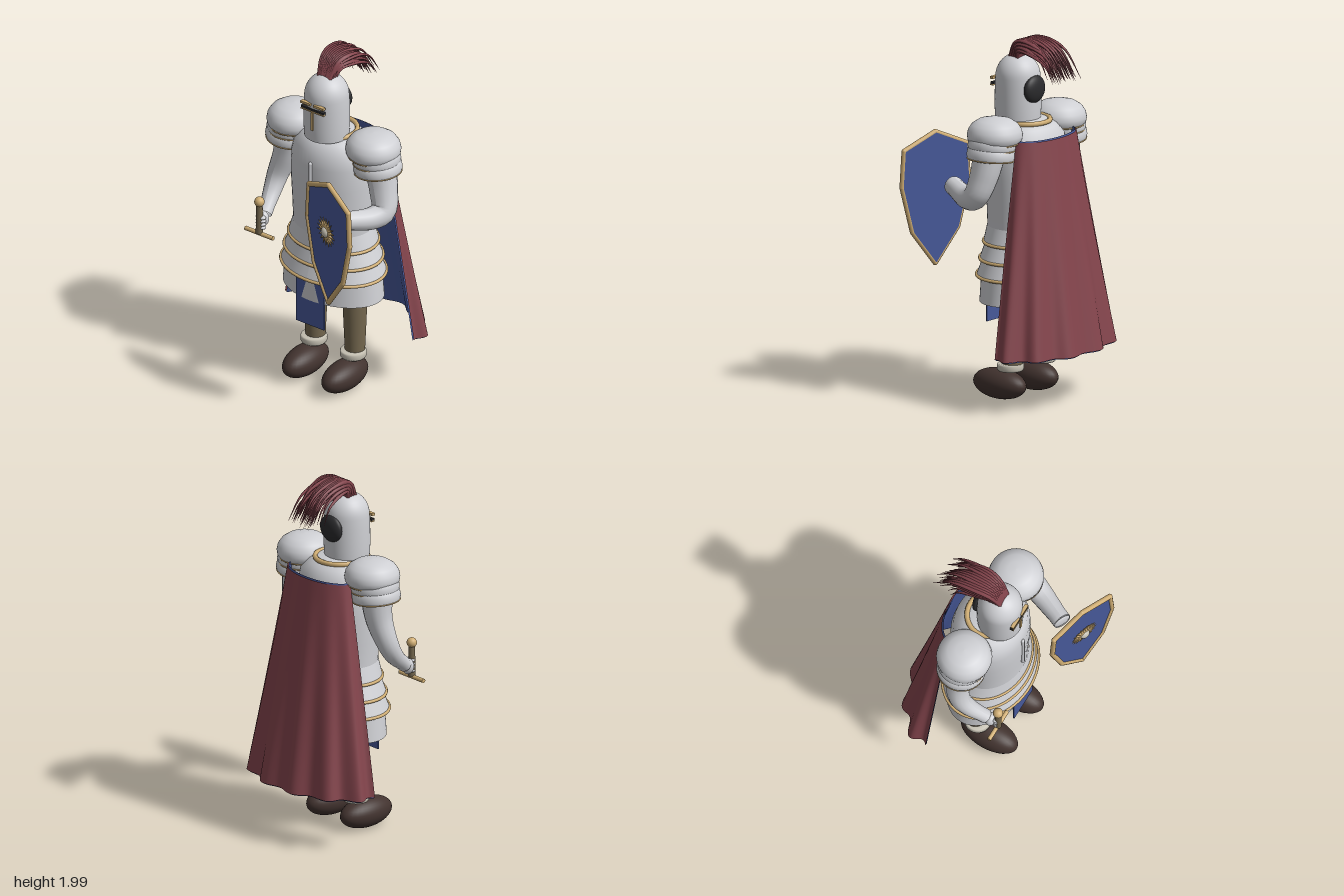
import * as THREE from 'three';

const mat = (name, color, side = THREE.FrontSide) => {
  const m = new THREE.MeshStandardMaterial({ color, side });
  m.name = name;
  return m;
};
const V = (x, y, z) => new THREE.Vector3(x, y, z);
const CX = -0.025;

export function createModel() {
  const steel = mat('steel', 0xcfd0d4, THREE.DoubleSide);
  const gold = mat('gold', 0xd0ae74);
  const blue = mat('blue cloth', 0x47599a, THREE.DoubleSide);
  const red = mat('red cloth', 0x85454d, THREE.DoubleSide);
  const brown = mat('brown leather', 0x75684f);
  const boot = mat('boot leather', 0x42332f);
  const cream = mat('cream cuff', 0xc6c1b3);
  const dark = mat('dark', 0x2b2b2d);

  const model = new THREE.Group();
  const add = (name, geo, material, x = 0, y = 0, z = 0, parent = model) => {
    const m = new THREE.Mesh(geo, material);
    m.name = name;
    m.position.set(x, y, z);
    parent.add(m);
    return m;
  };
  const group = (name, x = 0, y = 0, z = 0) => {
    const g = new THREE.Group();
    g.name = name;
    g.position.set(x, y, z);
    model.add(g);
    return g;
  };
  const lathe = (pts, seg = 48) => new THREE.LatheGeometry(pts.map(p => new THREE.Vector2(...p)), seg);
  const ball = (rx, ry, rz) => new THREE.SphereGeometry(1, 32, 20).scale(rx, ry, rz);
  // Tube along a curve whose radius follows radius(t)
  const taperTube = (points, radius, seg = 24, sides = 16) => {
    const curve = new THREE.CatmullRomCurve3(points);
    const geo = new THREE.TubeGeometry(curve, seg, 1, sides);
    const pos = geo.attributes.position, v = new THREE.Vector3();
    for (let i = 0; i < pos.count; i++) {
      const t = Math.floor(i / (sides + 1)) / seg, c = curve.getPointAt(t);
      v.fromBufferAttribute(pos, i).sub(c).multiplyScalar(radius(t)).add(c);
      pos.setXYZ(i, v.x, v.y, v.z);
    }
    geo.computeVertexNormals();
    return geo;
  };
  // Closed elliptical ring lying flat
  const ring = (rx, rz, tube) => {
    const pts = [];
    for (let i = 0; i < 32; i++) {
      const a = i / 32 * Math.PI * 2;
      pts.push(V(Math.cos(a) * rx, 0, Math.sin(a) * rz));
    }
    return new THREE.TubeGeometry(new THREE.CatmullRomCurve3(pts, true), 96, tube, 8, true);
  };

  // Torso and chest ridge
  const body = group('body', CX, 0, -0.025);
  add('torso', lathe([[0.232, 0.88], [0.232, 0.97], [0.237, 1.1], [0.245, 1.25], [0.242, 1.38],
    [0.225, 1.46], [0.18, 1.51], [0.12, 1.545], [0.001, 1.55]]).scale(1, 1, 0.84), steel, 0, 0, 0, body);
  add('chestRidge', new THREE.CapsuleGeometry(0.011, 0.31, 6, 12), steel, 0, 1.245, 0.203, body);
  add('neckRing', ring(0.13, 0.125, 0.014), gold, 0, 1.54, 0, body);

  // Tiered skirt with gilded edges
  [[0.232, 0.197, 0.97, 0.262, 0.21, 0.88], [0.25, 0.197, 0.88, 0.29, 0.224, 0.79],
    [0.275, 0.205, 0.79, 0.31, 0.238, 0.7], [0.292, 0.206, 0.7, 0.307, 0.21, 0.56]].forEach(([ax, az, ay, bx, bz, by], i) => {
    const geo = new THREE.CylinderGeometry(1, 1, 1, 64, 1, true);
    const p = geo.attributes.position;
    for (let k = 0; k < p.count; k++) {
      const top = p.getY(k) > 0;
      p.setXYZ(k, p.getX(k) * (top ? ax : bx), top ? ay : by, p.getZ(k) * (top ? az : bz));
    }
    geo.computeVertexNormals();
    add('skirtTier' + (i + 1), geo, steel, 0, 0, 0, body);
    if (i < 3) add('skirtTrim' + (i + 1), ring(bx, bz, 0.009), gold, 0, by, 0, body);
  });
  add('tabard', new THREE.BoxGeometry(0.19, 0.29, 0.008), blue, CX, 0.55, 0.177);

  // Helmet
  const helmet = group('helmet', CX, 0, 0.035);
  const dome = [[0.122, 1.53], [0.126, 1.6], [0.125, 1.72], [0.122, 1.77]];
  for (let i = 1; i <= 10; i++) {
    const a = i / 10 * Math.PI / 2;
    dome.push([Math.max(0.122 * Math.cos(a), 0.0005), 1.77 + 0.128 * Math.sin(a)]);
  }
  add('helmetShell', lathe(dome), steel, 0, 0, 0, helmet);
  for (const s of [-1, 1])
    add('browBar', new THREE.BoxGeometry(0.068, 0.014, 0.02), gold, s * 0.044, 1.755, 0.122, helmet);
  add('eyeSlit', new THREE.BoxGeometry(0.155, 0.012, 0.02), dark, 0, 1.727, 0.118, helmet);
  add('eyeSlitTrim', new THREE.BoxGeometry(0.155, 0.008, 0.02), gold, 0, 1.717, 0.12, helmet);
  add('noseBar', new THREE.BoxGeometry(0.014, 0.11, 0.012), gold, 0, 1.658, 0.127, helmet);
  add('backDisc', ball(0.08, 0.076, 0.035), dark, 0, 1.715, -0.115, helmet);

  // Plume: arching strands, fanned sideways and layered front to back
  let seed = 7;
  const rnd = () => (seed = (seed * 16807) % 2147483647) / 2147483647;
  const plume = group('plume', CX, 0, 0);
  for (let i = 0; i < 44; i++) {
    const s = (i % 11) / 5 - 1, h = Math.floor(i / 11) / 3;
    const reach = 0.75 + 0.25 * rnd(), spread = s * (0.065 + 0.025 * rnd());
    add('plumeStrand', taperTube([
      V(s * 0.035, 1.875, 0.01 + 0.05 * h),
      V(s * 0.055, 1.925 + 0.045 * h, -0.015 + 0.02 * h),
      V(s * 0.072, 1.925 + 0.062 * h, -0.1 * reach),
      V(spread, 1.875 + 0.07 * h, -0.23 * reach),
      V(spread * 1.08, 1.79 + 0.04 * (1 - reach) * 4 * h, (-0.29 - 0.055 * h) * reach),
    ], t => 0.0125 * Math.min(1, 1.5 * (1 - t)) + 0.0006, 18, 6), red, 0, 0, 0, plume);
  }

  // Pauldrons: a dome over two lames with thin gilded edges
  for (const s of [-1, 1]) {
    const p = group(s < 0 ? 'rightPauldron' : 'leftPauldron', CX + s * 0.27, 0, -0.027);
    add('shoulderDome', lathe([[0.135, 1.465], [0.147, 1.48], [0.151, 1.505], [0.145, 1.535], [0.125, 1.565],
      [0.09, 1.588], [0.045, 1.599], [0.0005, 1.601]]), steel, 0, 0, 0, p);
    add('domeTrim', ring(0.135, 0.135, 0.005), gold, 0, 1.465, 0, p);
    [[0.022, 1.43], [0.033, 1.375]].forEach(([dx, y], i) => {
      const lame = add('shoulderLame', lathe([[0.128, 0], [0.134, 0.02], [0.13, 0.055], [0.105, 0.085]]), steel, s * dx, y, 0, p);
      const trim = add('lameTrim', ring(0.128, 0.128, 0.004), gold, s * dx, y, 0, p);
      lame.rotation.z = trim.rotation.z = s * 0.05 * (i + 1);
    });
  }

  // Arms
  const armRadius = t => 0.092 - 0.04 * Math.min(1, t * 1.1);
  add('leftArm', taperTube([V(0.28, 1.45, -0.03), V(0.325, 1.28, -0.015), V(0.352, 1.175, 0.02),
    V(0.33, 1.152, 0.09), V(0.25, 1.18, 0.26)], armRadius), steel);
  add('rightArm', taperTube([V(-0.33, 1.45, -0.03), V(-0.35, 1.28, -0.03), V(-0.39, 1.13, 0),
    V(-0.388, 1.05, 0.05), V(-0.36, 0.965, 0.15)], t => armRadius(t) - 0.012 * t), steel);
  add('leftArmEnd', ball(0.05, 0.05, 0.012), steel, 0.25, 1.18, 0.258).rotation.y = -0.44;

  // Gripping hand and sword hilt
  const hand = group('rightHand', -0.345, 0.95, 0.185);
  add('palm', ball(0.038, 0.045, 0.032), steel, -0.01, 0, -0.01, hand);
  for (let i = 0; i < 4; i++)
    add('finger', ball(0.032, 0.012, 0.02), steel, 0.004, 0.025 - i * 0.02, 0.022, hand);
  const hilt = group('swordHilt', -0.345, 0, 0.215);
  add('pommel', ball(0.028, 0.028, 0.028), gold, 0, 1.072, 0, hilt);
  add('grip', new THREE.CylinderGeometry(0.018, 0.02, 0.18, 16), brown, 0, 0.97, 0, hilt);
  add('crossguard', new THREE.CylinderGeometry(0.012, 0.012, 0.19, 16).rotateZ(Math.PI / 2), gold, 0, 0.877, 0, hilt);

  // Shield
  const shield = group('shield', 0.26, 1.175, 0.375);
  shield.rotation.y = -0.333;
  const half = [[0.195, 0.2], [0.208, 0], [0.142, -0.255]];
  const outline = [[0, 0.285], ...half, [0, -0.44], ...half.map(([x, y]) => [-x, y]).reverse()];
  const board = new THREE.Shape(outline.map(p => new THREE.Vector2(...p)));
  add('shieldBoard', new THREE.ExtrudeGeometry(board, { depth: 0.02, bevelEnabled: false }), blue, 0, 0, -0.01, shield);
  outline.forEach(([x, y], i) => {
    const [x2, y2] = outline[(i + 1) % outline.length];
    const bar = add('shieldRim', new THREE.CylinderGeometry(0.0145, 0.0145, Math.hypot(x2 - x, y2 - y), 12),
      gold, (x + x2) / 2, (y + y2) / 2, 0.004, shield);
    bar.rotation.z = Math.atan2(y2 - y, x2 - x) - Math.PI / 2;
    add('rimCorner', ball(0.0145, 0.0145, 0.0145), gold, x, y, 0.004, shield);
  });
  // Sunburst
  for (let i = 0; i < 18; i++) {
    const a = i / 18 * Math.PI * 2, r = 0.062;
    const ray = add('sunRay', new THREE.ConeGeometry(0.0095, 0.055, 8), gold, -Math.sin(a) * r, Math.cos(a) * r, 0.022, shield);
    ray.rotation.z = a;
  }
  add('sunRing', new THREE.TorusGeometry(0.034, 0.008, 8, 32), gold, 0, 0, 0.024, shield);
  add('sunBoss', ball(0.032, 0.032, 0.026), cream, 0, 0, 0.022, shield);

  // Legs, cuffs and boots
  for (const s of [-1, 1]) {
    const leg = group(s < 0 ? 'rightLeg' : 'leftLeg', CX + s * 0.135, 0, 0);
    add('trouser', lathe([[0.054, 0.19], [0.057, 0.26], [0.063, 0.4], [0.069, 0.56], [0.072, 0.9]], 32), brown, 0, 0, -0.038, leg);
    add('ankleCuff', lathe([[0.04, 0.175], [0.068, 0.175], [0.073, 0.185], [0.073, 0.206], [0.068, 0.215], [0.04, 0.215]], 32),
      cream, 0, 0, -0.024, leg);
    add('boot', ball(0.087, 0.084, 0.172), boot, 0, 0.09, 0.05, leg);
  }

  // Cape: half-elliptical sweep that widens and ripples towards the hem
  const sheet = (inset, extra) => {
    const nu = 96, nv = 20, geo = new THREE.PlaneGeometry(1, 1, nu, nv), p = geo.attributes.position;
    for (let i = 0; i < p.count; i++) {
      const u = p.getX(i) * Math.PI, v = 0.5 - p.getY(i);
      const wave = 1 - 0.055 * v * Math.cos(12.6 * (u - 0.03));
      const rx = (0.237 + 0.218 * v) * wave - inset, rz = (0.115 + 0.175 * v) * wave - inset;
      p.setXYZ(i, -0.02 + rx * Math.sin(u), 1.475 + extra - v * (1.165 + 2 * extra), -0.15 - 0.015 * v - rz * Math.cos(u));
    }
    geo.computeVertexNormals();
    return geo;
  };
  const cape = group('cape');
  add('capeOuter', sheet(0, 0), red, 0, 0, 0, cape);
  add('capeLining', sheet(0.009, 0.006), blue, 0, 0, 0, cape);
  return model;
}
